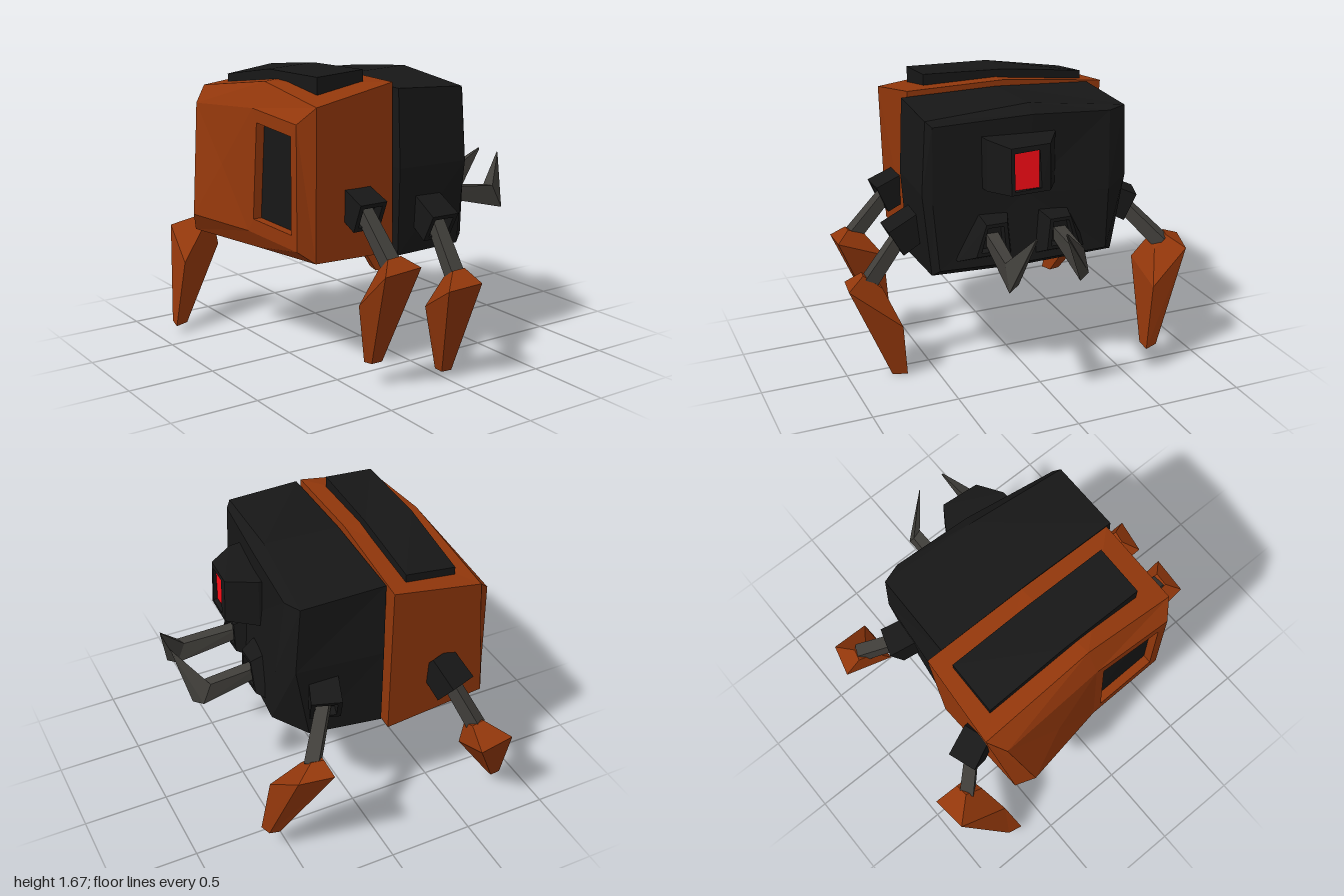
import * as THREE from 'three';

const paint = (color) => new THREE.MeshStandardMaterial({ color, flatShading: true, side: THREE.DoubleSide });

// Skins a list of equal-length rings of [x, y, z]; ends are closed with fans on request.
function loft(rings, capStart = true, capEnd = true) {
  const tris = [];
  const n = rings[0].length;
  const mid = (pts) => [0, 1, 2].map((k) => pts.reduce((s, p) => s + p[k], 0) / pts.length);
  for (let i = 0; i < rings.length - 1; i++) {
    for (let j = 0; j < n; j++) {
      const a = rings[i][j], b = rings[i][(j + 1) % n];
      const c = rings[i + 1][(j + 1) % n], d = rings[i + 1][j];
      tris.push([a, b, c], [a, c, d]);
    }
  }
  const cap = (ring, flip) => {
    const c = mid(ring);
    ring.forEach((p, j) => {
      const q = ring[(j + 1) % n];
      tris.push(flip ? [c, q, p] : [c, p, q]);
    });
  };
  if (capStart) cap(rings[0], true);
  if (capEnd) cap(rings[rings.length - 1], false);
  // Turn the skin outward if its signed volume is negative
  const o = new THREE.Vector3(...mid(rings.flat()));
  let volume = 0;
  for (const t of tris) {
    const [a, b, c] = t.map((p) => new THREE.Vector3(...p).sub(o));
    volume += a.dot(b.cross(c));
  }
  if (volume < 0) tris.forEach((t) => t.reverse());
  const geo = new THREE.BufferGeometry();
  geo.setAttribute('position', new THREE.Float32BufferAttribute(tris.flat(2), 3));
  geo.computeVertexNormals();
  return geo;
}

const lerp = (a, b, t) => a.map((v, k) => v + (b[k] - v) * t);

// Square ring around the z axis, half-size r, at depth z
const square = (r, z) => [[-r, -r, z], [r, -r, z], [r, r, z], [-r, r, z]];

// Four-sided ring facing x: z from z0 to z1, y from y0 to y1
const facing = (x, z0, z1, y0, y1) => [[x, y0, z0], [x, y0, z1], [x, y1, z1], [x, y1, z0]];

export function createModel() {
  const model = new THREE.Group();
  const orange = paint(0x92370b), black = paint(0x171717), grey = paint(0x403e3a), red = paint(0xff0c16);
  const add = (name, geo, mat, parent = model) => {
    const mesh = new THREE.Mesh(geo, mat);
    mesh.name = name;
    parent.add(mesh);
    return mesh;
  };

  // Rear shell: open loft whose back is finished by a flat half and a window half
  const back = [[-0.73, 1.43, 0.48], [-0.71, 1.45, 0], [-0.73, 1.4, -0.62],
    [-0.83, 0.77, -0.5], [-0.75, 0.77, 0], [-0.74, 0.76, 0.49]];
  add('rearShell', loft([
    [[-0.16, 1.61, 0.53], [-0.15, 1.62, -0.05], [-0.13, 1.56, -0.66],
      [-0.15, 0.61, -0.62], [-0.15, 0.65, -0.05], [-0.16, 0.68, 0.54]],
    [[-0.65, 1.52, 0.55], [-0.63, 1.59, 0], [-0.64, 1.49, -0.69],
      [-0.77, 0.65, -0.6], [-0.7, 0.67, 0], [-0.65, 0.69, 0.53]],
    back,
  ], true, false), orange);
  add('rearPanel', loft([[back[1], back[2], back[3], back[4]]], false), orange);

  // Recessed rear window
  const outer = [back[0], back[1], back[4], back[5]];
  const centre = [-0.735, 1.12, 0.23];
  const inner = outer.map((p) => lerp(p, centre, 0.22));
  const floor = inner.map((p) => [p[0] + 0.05, p[1], p[2]]);
  add('windowFrame', loft([outer, inner, floor], false, false), orange);
  add('rearWindow', loft([floor], false), black);

  // Bent strip along the top of the rear shell
  const stripRing = (z, x0, x1, y0, y1) => [[x0, y0, z], [x1, y1, z], [x1, y1 - 0.12, z], [x0, y0 - 0.1, z]];
  add('topStrip', loft([
    stripRing(0.4, -0.55, -0.26, 1.65, 1.67),
    stripRing(-0.1, -0.545, -0.25, 1.64, 1.655),
    stripRing(-0.58, -0.54, -0.24, 1.56, 1.6),
  ]), black);

  // Front body, each ring running top to bottom with a bulge at mid-height; the chin is cut away
  add('frontBody', loft([
    [[-0.15, 1.58, 0.57], [-0.14, 1.59, 0], [-0.13, 1.56, -0.57], [-0.11, 1.15, -0.61],
      [-0.12, 0.66, -0.59], [-0.13, 0.66, 0], [-0.14, 0.66, 0.56], [-0.15, 1.15, 0.59]],
    [[0.27, 1.56, 0.58], [0.31, 1.61, 0], [0.36, 1.55, -0.56], [0.39, 1.15, -0.56],
      [0.3, 0.67, -0.53], [0.3, 0.66, 0], [0.27, 0.67, 0.56], [0.28, 1.15, 0.61]],
    [[0.3, 1.53, 0.55], [0.37, 1.56, 0], [0.4, 1.54, -0.45], [0.45, 1.1, -0.43],
      [0.47, 0.76, -0.41], [0.42, 0.73, 0], [0.32, 0.71, 0.53], [0.31, 1.1, 0.56]],
  ]), black);

  // Eye housing with a sunken lens
  add('eyeHousing', loft([
    facing(0.3, -0.13, 0.29, 1.17, 1.46),
    facing(0.4, -0.12, 0.28, 1.17, 1.46),
    [[0.565, 1.19, -0.02], [0.55, 1.18, 0.2], [0.54, 1.44, 0.2], [0.555, 1.45, -0.02]],
    [[0.562, 1.21, 0.03], [0.552, 1.2, 0.18], [0.542, 1.41, 0.18], [0.552, 1.42, 0.04]],
    facing(0.525, 0.03, 0.18, 1.2, 1.42),
  ], true, false), black);
  add('eyeLens', loft([facing(0.526, 0.03, 0.18, 1.2, 1.42)], false), red);

  // Mandibles: hollow socket slanting outward below, straight arm, upturned point
  for (const [name, s, x, z, elbowZ, tipZ] of [['left', 1, 0, 0.25, 0.29, 0.2], ['right', -1, 0.05, -0.13, -0.12, 0.03]]) {
    const group = new THREE.Group();
    group.name = name + 'Mandible';
    model.add(group);
    const mouth = (dx, inside, low, high, y0, y1) => [[x + dx, y0, z - s * inside], [x + dx, y0, z + s * low],
      [x + dx, y1, z + s * high], [x + dx, y1, z - s * inside * 0.8]];
    add('mandibleSocket', loft([
      mouth(0.3, 0.13, 0.19, 0.06, 0.77, 1.02), mouth(0.36, 0.13, 0.19, 0.06, 0.77, 1.02),
      mouth(0.44, 0.09, 0.11, 0.05, 0.81, 0.99), mouth(0.44, 0.065, 0.08, 0.04, 0.83, 0.97),
      mouth(0.4, 0.06, 0.07, 0.04, 0.84, 0.96),
    ]), black, group);
    add('mandibleArm', loft([
      facing(0.39 + x, z - 0.035, z + 0.035, 0.855, 0.925),
      [[0.77, 0.77, elbowZ - 0.035], [0.81, 0.75, elbowZ + 0.035],
        [0.74, 0.89, elbowZ + 0.03], [0.72, 0.89, elbowZ - 0.03]],
      facing(0.875, tipZ - 0.004, tipZ + 0.004, 1.05, 1.06),
    ]), grey, group);
  }

  // Legs: hollow socket, shank, and a claw widened by two outer and two inner corners
  const legs = [
    { name: 'rearLeftLeg', socket: [-0.39, 0.96, 0.59], knee: [-0.38, 0.73, 0.81],
      wide: [[-0.49, 0.69, 0.93], [-0.27, 0.71, 0.94], [-0.27, 0.6, 0.67], [-0.48, 0.47, 0.68]], tip: [-0.375, 0.13, 0.66] },
    { name: 'frontLeftLeg', socket: [0.04, 0.86, 0.65], knee: [0.03, 0.6, 0.84],
      wide: [[-0.1, 0.55, 0.96], [0.1, 0.57, 0.99], [0.16, 0.33, 0.7], [-0.07, 0.4, 0.72]], tip: [0.07, 0.0, 0.71] },
    { name: 'rearRightLeg', socket: [-0.49, 0.89, -0.68], knee: [-0.6, 0.63, -0.81],
      wide: [[-0.75, 0.59, -0.98], [-0.54, 0.57, -1.0], [-0.53, 0.48, -0.78], [-0.8, 0.42, -0.7]], tip: [-0.85, 0.055, -0.7] },
    { name: 'frontRightLeg', socket: [0.24, 0.95, -0.6], knee: [0.4, 0.73, -0.79],
      wide: [[0.35, 0.72, -0.95], [0.54, 0.7, -0.9], [0.6, 0.52, -0.66], [0.31, 0.6, -0.67]], tip: [0.595, 0.16, -0.65] },
  ];
  for (const { name, socket, knee, wide, tip } of legs) {
    const group = new THREE.Group();
    group.name = name;
    model.add(group);
    const from = new THREE.Vector3(...socket), to = new THREE.Vector3(...knee);
    // The socket faces further outward than the shank that leaves it
    const mount = add('socket', loft([square(0.08, -0.13), square(0.085, 0.07), square(0.06, 0.07), square(0.055, 0.02)]), black, group);
    mount.position.copy(from);
    mount.lookAt(to.clone().sub(from).multiply(new THREE.Vector3(0.4, 0.4, 1)).add(from));
    const shank = add('shank', loft([square(0.035, 0), square(0.04, from.distanceTo(to) + 0.03)]), grey, group);
    shank.position.copy(from);
    shank.lookAt(to);
    const centroid = [0, 1, 2].map((k) => wide.reduce((s, p) => s + p[k], 0) / 4);
    const shrunk = (at, s) => wide.map((p) => p.map((v, k) => at[k] + (v - centroid[k]) * s));
    // The end of the claw is flatter than its widest ring
    const end = shrunk(tip, 0.3).map((p) => [p[0], Math.max(0, tip[1] + (p[1] - tip[1]) * 0.2), p[2]]);
    add('claw', loft([shrunk(knee, 0.36), wide, end]), orange, group);
  }
  return model;
}
